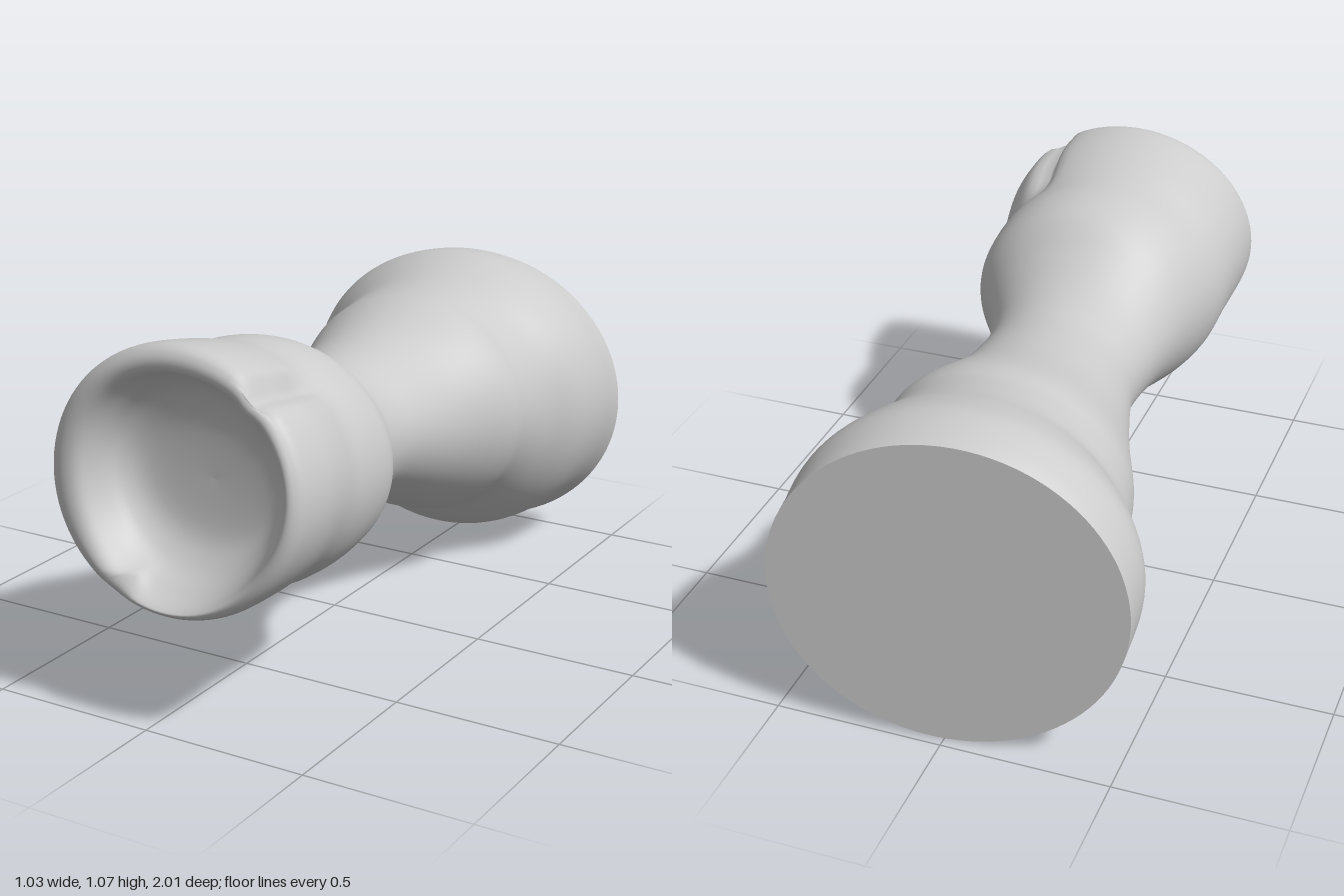
import * as THREE from 'three';

// Cross-sections, back to front: [z, left edge x, right edge x, bottom y, top y]
const OUTER = [
  [-0.95, -0.515, 0.50, 0.0, 0.945],
  [-0.90, -0.515, 0.50, 0.012, 0.96],
  [-0.80, -0.51, 0.51, 0.035, 0.97],
  [-0.70, -0.475, 0.485, 0.05, 0.95],
  [-0.60, -0.41, 0.43, 0.11, 0.92],
  [-0.50, -0.385, 0.405, 0.18, 0.90],
  [-0.40, -0.36, 0.40, 0.205, 0.895],
  [-0.20, -0.28, 0.32, 0.29, 0.84],
  [0.00, -0.22, 0.285, 0.375, 0.815],
  [0.10, -0.215, 0.285, 0.39, 0.822],
  [0.20, -0.23, 0.31, 0.395, 0.845],
  [0.30, -0.25, 0.365, 0.37, 0.90],
  [0.40, -0.275, 0.425, 0.33, 0.97],
  [0.50, -0.30, 0.437, 0.305, 1.003],
  [0.60, -0.32, 0.435, 0.302, 1.012],
  [0.70, -0.33, 0.455, 0.33, 1.035],
  [0.80, -0.335, 0.472, 0.335, 1.055],
  [0.90, -0.335, 0.47, 0.335, 1.07],
];
// Rolled lip and the bowl sunk into the front end
const BOWL = [
  [0.94, -0.325, 0.46, 0.342, 1.065],
  [0.96, -0.285, 0.435, 0.36, 1.04],
  [0.95, -0.24, 0.41, 0.375, 1.01],
  [0.90, -0.20, 0.385, 0.40, 0.985],
  [0.84, -0.17, 0.35, 0.45, 0.93],
  [0.80, -0.09, 0.29, 0.53, 0.83],
  [0.79, 0.099, 0.101, 0.679, 0.681],
];
const ROWS = [...OUTER, ...BOWL];
const SEGMENTS = 96;
const STEPS = 5;

const bump = (d, width) => Math.exp(-((d / width) ** 2));

// Smooth interpolation between neighbouring cross-sections
function sectionAt(t) {
  const last = ROWS.length - 1;
  const i = Math.min(Math.floor(t), last - 1);
  const f = t - i;
  const row = k => ROWS[THREE.MathUtils.clamp(k, 0, last)];
  return ROWS[0].map((_, c) => {
    const [a, b, d, e] = [row(i - 1)[c], row(i)[c], row(i + 1)[c], row(i + 2)[c]];
    return b + 0.5 * f * (d - a + f * (2 * a - 5 * b + 4 * d - e + f * (3 * (b - d) + e - a)));
  });
}

function surfacePoint(t, angle) {
  let [z, x0, x1, y0, y1] = sectionAt(t);
  const inside = t > OUTER.length + 0.5;
  let scale = 1;
  // Crease along the upper left of the front end
  if (z > 0.5) {
    const along = THREE.MathUtils.smoothstep(z, 0.55, 0.72);
    scale -= (inside ? 0.03 : 0.1) * along * bump(angle - 0.87, 0.1);
  }
  // Folded nick at the bottom of the lip
  const lip = bump(t - OUTER.length - 2, 1.1);
  const nick = lip * bump(angle - 4.24, 0.1);
  scale -= 0.09 * nick;
  // Gentle hand-shaped waviness of the bowl
  if (inside) scale += 0.025 * lip * Math.sin(3 * angle + 0.6);
  const x = (x0 + x1) / 2 + (x1 - x0) / 2 * scale * Math.cos(angle);
  const y = (y0 + y1) / 2 + (y1 - y0) / 2 * scale * Math.sin(angle);
  // Slanted back cut and slanted front rim
  const back = 1 - THREE.MathUtils.smoothstep(z, -0.95, -0.5);
  const front = THREE.MathUtils.smoothstep(z, 0.55, 0.92);
  z += back * (-0.108 * x + 0.04 * (y - 0.47)) - front * 0.11 * (y - 0.7) - 0.03 * nick;
  return [x, y, z];
}

function geometryFrom(positions, index) {
  const geometry = new THREE.BufferGeometry();
  geometry.setAttribute('position', new THREE.Float32BufferAttribute(positions, 3));
  geometry.setIndex(index);
  geometry.computeVertexNormals();
  return geometry;
}

const ring = t => Array.from({ length: SEGMENTS }, (_, j) =>
  surfacePoint(t, j / SEGMENTS * Math.PI * 2)).flat();

function bodyGeometry() {
  const positions = [], index = [];
  const rings = (ROWS.length - 1) * STEPS;
  for (let i = 0; i <= rings; i++) {
    positions.push(...ring(i / STEPS));
    if (i === rings) break;
    for (let j = 0; j < SEGMENTS; j++) {
      const k = (j + 1) % SEGMENTS;
      const a = i * SEGMENTS + j, b = i * SEGMENTS + k;
      index.push(a, b, b + SEGMENTS, a, b + SEGMENTS, a + SEGMENTS);
    }
  }
  return geometryFrom(positions, index);
}

function capGeometry() {
  const positions = [...ring(0), 0, 0.47, -0.95];
  const index = [];
  for (let j = 0; j < SEGMENTS; j++) index.push(SEGMENTS, (j + 1) % SEGMENTS, j);
  return geometryFrom(positions, index);
}

export function createModel() {
  const group = new THREE.Group();
  group.name = 'waistedStem';
  const material = new THREE.MeshStandardMaterial({ color: 0xcccccc });
  const add = (name, geometry) => {
    const mesh = new THREE.Mesh(geometry, material);
    mesh.name = name;
    group.add(mesh);
  };
  // Waisted body with its hollow front end
  add('bodyWithBowl', bodyGeometry());
  // Flat cut at the back
  add('flatBackCut', capGeometry());
  return group;
}
